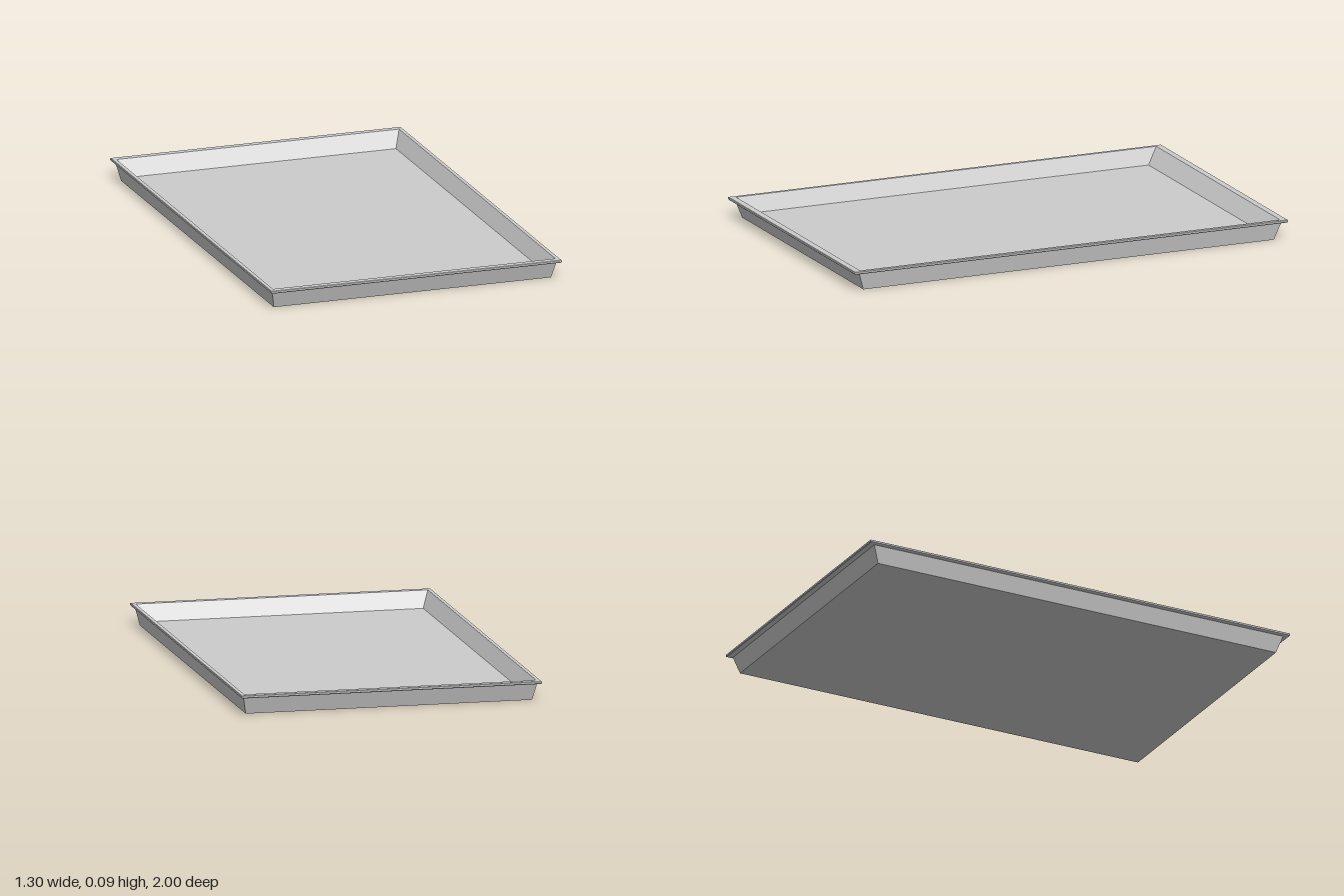
import * as THREE from 'three';

const material = new THREE.MeshStandardMaterial({ color: 0xcccccc, flatShading: true, side: THREE.DoubleSide });

// Corners of a rectangle with half sizes x and z at height y, counter-clockwise from above
const corners = ([x, z, y]) => [[x, y, z], [x, y, -z], [-x, y, -z], [-x, y, z]];

// Skin joining successive rectangular sections, listed so the surface faces outward
function loft(name, sections) {
  const positions = [];
  for (let i = 0; i < sections.length - 1; i++) {
    const a = corners(sections[i]);
    const b = corners(sections[i + 1]);
    for (let k = 0; k < 4; k++) {
      const n = (k + 1) % 4;
      positions.push(...a[k], ...a[n], ...b[n], ...a[k], ...b[n], ...b[k]);
    }
  }
  const geometry = new THREE.BufferGeometry();
  geometry.setAttribute('position', new THREE.Float32BufferAttribute(positions, 3));
  geometry.computeVertexNormals();
  const mesh = new THREE.Mesh(geometry, material);
  mesh.name = name;
  return mesh;
}

// Flat rectangular panel facing up or down
function panel(name, [x, z, y], facing) {
  const geometry = new THREE.PlaneGeometry(2 * x, 2 * z).rotateX(-facing * Math.PI / 2);
  const mesh = new THREE.Mesh(geometry, material);
  mesh.name = name;
  mesh.position.y = y;
  return mesh;
}

export function createModel() {
  // Sections as [half width, half length, height]
  const base = [0.62, 0.948, 0];
  const underRim = [0.636, 0.974, 0.074];
  const innerTop = [0.632, 0.97, 0.088];
  const floor = [0.6, 0.92, 0.02];

  const tray = new THREE.Group();
  tray.name = 'tray';
  tray.add(
    panel('base', base, -1),
    loft('outerWalls', [base, underRim]),
    // Thin projecting lip with slightly eased edges
    loft('rim', [underRim, [0.647, 0.997, 0.076], [0.65, 1, 0.079], [0.65, 1, 0.086], [0.648, 0.998, 0.088], innerTop]),
    loft('innerWalls', [innerTop, floor]),
    panel('floor', floor, 1),
  );
  return tray;
}
